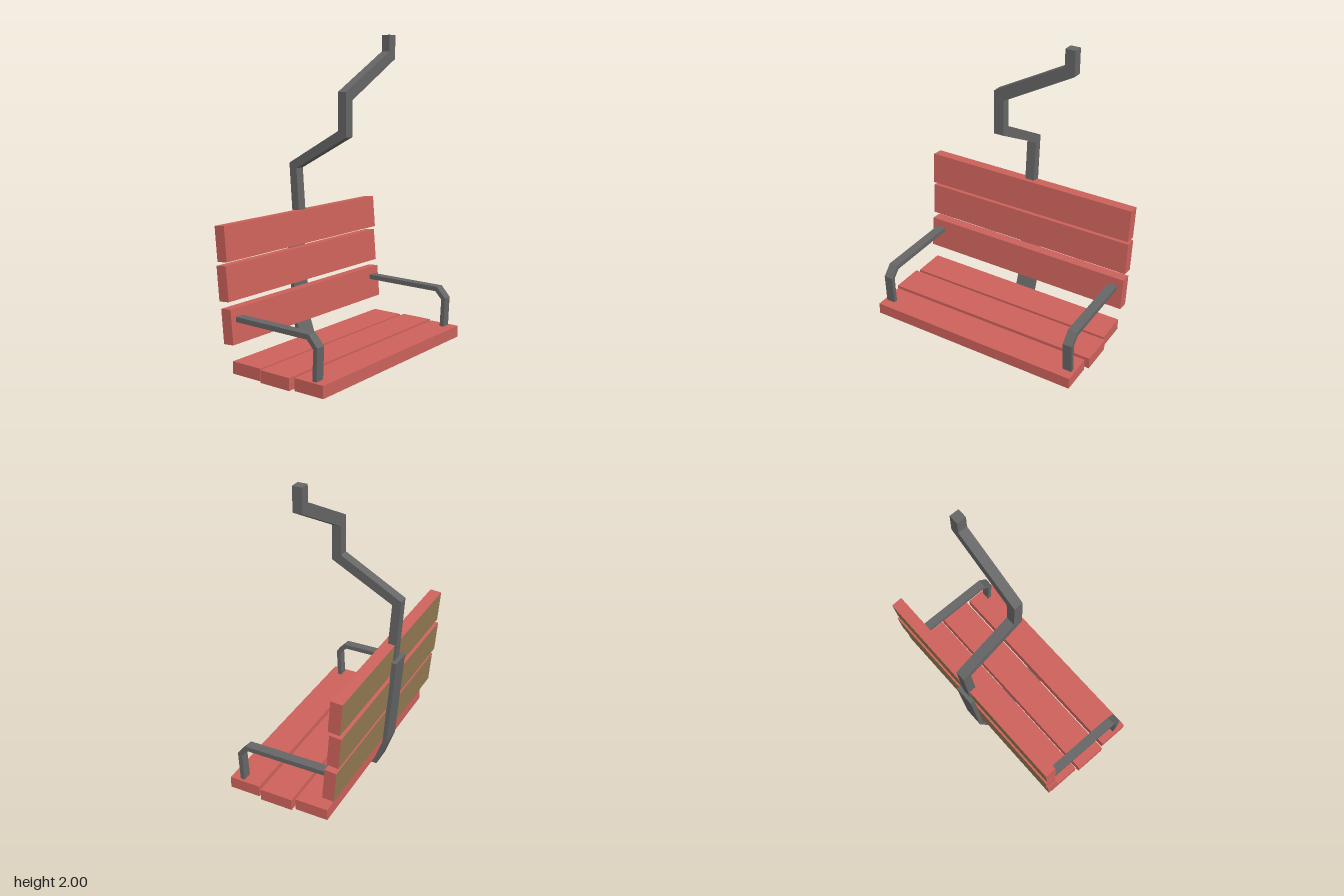
import * as THREE from 'three';

export function createModel() {
  const model = new THREE.Group();
  model.name = 'chairliftSeat';
  const mat = (name, color) => {
    const m = new THREE.MeshStandardMaterial({ color });
    m.name = name;
    return m;
  };
  const red = mat('redPaint', 0xcd625b);
  const wood = mat('bareWood', 0x967c54);
  const metal = mat('greyMetal', 0x666666);

  const add = (name, geometry, material) => {
    const mesh = new THREE.Mesh(geometry, material);
    mesh.name = name;
    model.add(mesh);
    return mesh;
  };
  const extrude = (points, depth) => {
    const shape = new THREE.Shape(points.map(([u, v]) => new THREE.Vector2(u, v)));
    return new THREE.ExtrudeGeometry(shape, { depth, bevelEnabled: false }).translate(0, 0, -depth / 2);
  };
  // Side profile given as [z, y], extruded across x
  const bar = (name, points, width, x = 0) => {
    add(name, extrude(points, width).rotateY(-Math.PI / 2), metal).position.x = x;
  };

  // Seat planks: bare wood underneath
  [[0.304, 0.203, 1.415], [0.073, 0.213, 1.455], [-0.158, 0.213, 1.42]].forEach(([z, depth, width], i) => {
    const plank = add('seatPlank' + (i + 1), new THREE.BoxGeometry(width, 0.075, depth),
      [red, red, red, wood, red, red]);
    plank.position.set(0, 0.074, z);
  });

  // Backrest planks: tilted, bare wood behind
  [[0.317, -0.288], [0.568, -0.319], [0.801, -0.328]].forEach(([y, z], i) => {
    const plank = add('backPlank' + (i + 1), new THREE.BoxGeometry(1.456, 0.21, 0.075),
      [red, red, red, red, red, wood]);
    plank.position.set(0, y, z);
    plank.rotation.x = -0.085;
  });

  // Flat strap under the seat and up the back
  bar('supportStrap', [
    [0.3, 0.004], [0.3, 0.034], [-0.268, 0.04], [-0.326, 0.2], [-0.372, 0.8],
    [-0.402, 0.797], [-0.353, 0.195], [-0.287, 0.011],
  ], 0.134);

  // Lower hanger: up behind the back, then forward to the centre
  bar('lowerHanger', [
    [-0.318, 0.75], [-0.348, 1.172], [0.045, 1.384], [0.045, 1.53], [-0.015, 1.53],
    [-0.015, 1.422], [-0.405, 1.204], [-0.374, 0.75],
  ], 0.063);

  // Upper hanger: bends sideways to the cable
  add('upperHanger', extrude([
    [-0.033, 1.53], [0.031, 1.53], [0.031, 1.605], [0.481, 1.85], [0.481, 2],
    [0.419, 2], [0.419, 1.897], [-0.033, 1.656],
  ], 0.06), metal).position.z = 0.015;

  // Armrests
  for (const [side, x] of [['left', 0.66], ['right', -0.66]]) {
    bar(side + 'Armrest', [
      [0.315, 0.1], [0.324, 0.292], [0.278, 0.341], [-0.257, 0.345],
      [-0.257, 0.375], [0.291, 0.371], [0.352, 0.304], [0.343, 0.1],
    ], 0.06, x);
  }
  return model;
}
